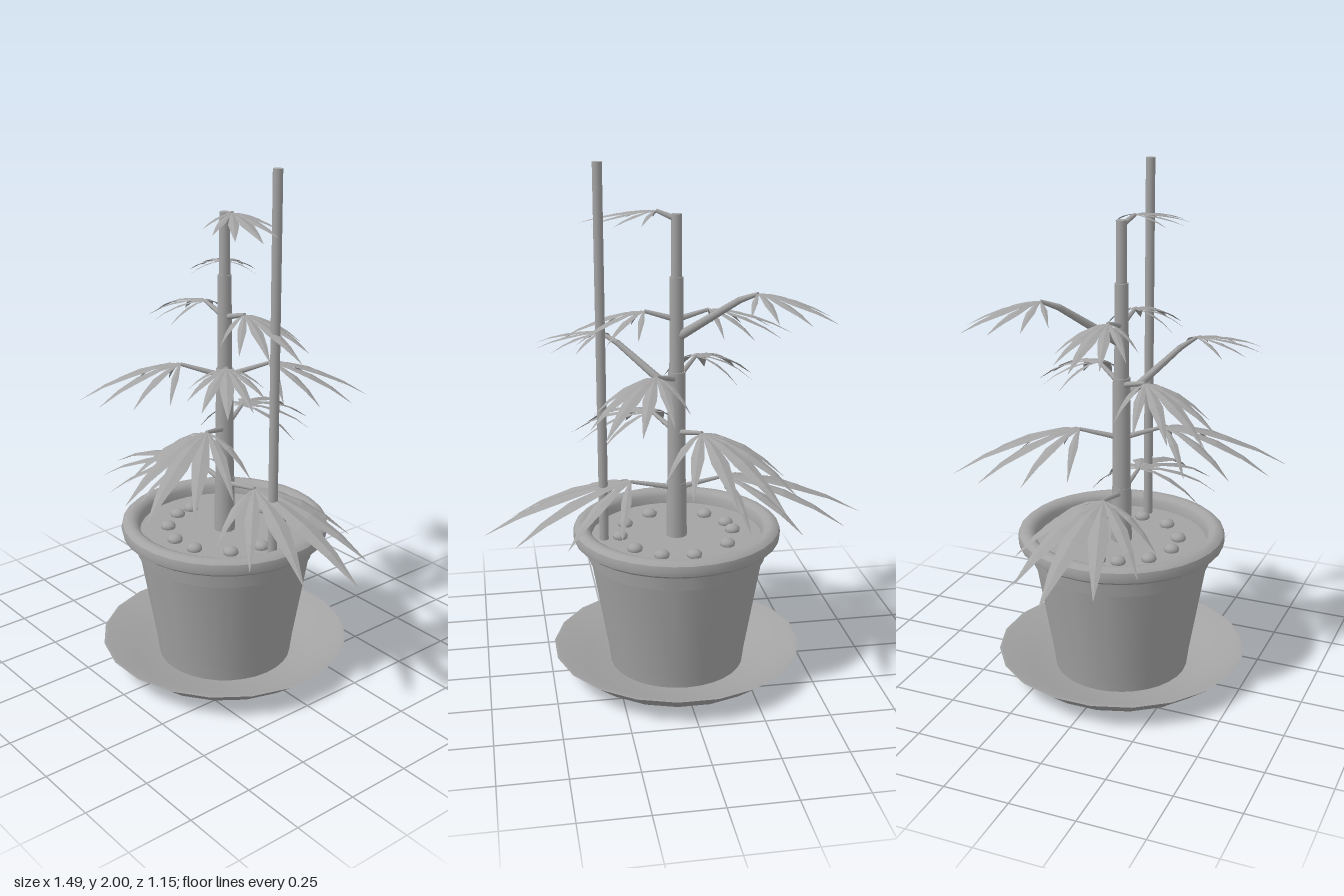
import * as THREE from 'three';
import { mergeGeometries, toCreasedNormals } from 'three/addons/utils/BufferGeometryUtils.js';

const grey = new THREE.MeshStandardMaterial({ color: 0xa3a3a3, side: THREE.DoubleSide });
grey.name = 'clayGrey';

const V = (x, y, z) => new THREE.Vector3(x, y, z);

function addMesh(parent, name, geometry) {
  const mesh = new THREE.Mesh(geometry, grey);
  mesh.name = name;
  parent.add(mesh);
  return mesh;
}

function lathe(points, sides) {
  const g = new THREE.LatheGeometry(points.map(([r, y]) => new THREE.Vector2(r, y)), sides);
  return toCreasedNormals(g, Math.PI / 5);
}

// Tapered round rod between two points
function rod(a, b, r0, r1, sides = 8) {
  const d = b.clone().sub(a);
  const g = new THREE.CylinderGeometry(r1, r0, d.length(), sides);
  g.applyQuaternion(new THREE.Quaternion().setFromUnitVectors(V(0, 1, 0), d.normalize()));
  return g.translate((a.x + b.x) / 2, (a.y + b.y) / 2, (a.z + b.z) / 2);
}

// One drooping pointed leaflet along +x, folded along its midrib
function leaflet(length, drop) {
  const rows = [[0, 0.015], [0.25, 0.05], [0.5, 0.08], [0.75, 0.048], [1, 0]];
  const pos = [];
  const section = ([t, w]) => {
    const x = t * length, y = -drop * t * t, h = w * length;
    return { l: [x, y - h * 0.25, -h], m: [x, y, 0], r: [x, y - h * 0.25, h] };
  };
  for (let i = 0; i < rows.length - 1; i++) {
    const a = section(rows[i]), b = section(rows[i + 1]);
    pos.push(...a.l, ...a.m, ...b.m, ...a.m, ...a.r, ...b.m);
    if (i < rows.length - 2) pos.push(...a.l, ...b.m, ...b.l, ...a.r, ...b.r, ...b.m);
  }
  const g = new THREE.BufferGeometry();
  g.setAttribute('position', new THREE.Float32BufferAttribute(pos, 3));
  g.computeVertexNormals();
  return g;
}

// Palmate fan of seven leaflets, the longest in the middle
function fan(length, droop) {
  const spread = [[0, 1], [19, 0.85], [43, 0.64], [75, 0.44]];
  const parts = [];
  for (const [deg, k] of spread) {
    for (const side of deg ? [-1, 1] : [1]) {
      parts.push(leaflet(length * k, length * droop * Math.pow(k, 0.25))
        .rotateY(side * THREE.MathUtils.degToRad(deg)));
    }
  }
  return mergeGeometries(parts);
}

export function createModel() {
  const model = new THREE.Group();
  model.name = 'pottedPlant';

  // Saucer
  addMesh(model, 'saucer', lathe([
    [0, 0], [0.2, 0.002], [0.36, 0.008], [0.395, 0.025], [0.49, 0.1],
    [0.478, 0.1], [0.36, 0.035], [0, 0.02],
  ], 20)).rotation.y = Math.PI / 20;

  // Pot body, raised band and rolled rim
  addMesh(model, 'potBody', lathe([
    [0, 0.015], [0.262, 0.015], [0.273, 0.1], [0.338, 0.48], [0.346, 0.48], [0.355, 0.56],
  ], 32));
  addMesh(model, 'potRim', lathe([
    [0.34, 0.55], [0.385, 0.548], [0.4, 0.56], [0.404, 0.58], [0.4, 0.6], [0.385, 0.613],
    [0.365, 0.615], [0.345, 0.606], [0.335, 0.59], [0.332, 0.55],
  ], 32));

  // Soil and pebbles
  const soil = new THREE.CircleGeometry(0.336, 32).rotateX(-Math.PI / 2).translate(0, 0.56, 0);
  addMesh(model, 'soil', soil);
  const pebbles = new THREE.Group();
  pebbles.name = 'pebbles';
  model.add(pebbles);
  for (const deg of [0, 33, 70, 98, 130, 161, 181, 218, 262, 294, 325]) {
    const a = THREE.MathUtils.degToRad(deg);
    const p = addMesh(pebbles, 'pebble', new THREE.SphereGeometry(0.03, 10, 8));
    p.scale.y = 0.7;
    p.position.set(0.222 * Math.cos(a), 0.567, 0.222 * Math.sin(a));
  }

  // Stem in tapering lengths
  const joints = [[0.55, 0.041], [0.78, 0.036], [1.22, 0.028], [1.58, 0.021], [1.81, 0.018]];
  for (let i = 0; i < joints.length - 1; i++) {
    const [y0, r0] = joints[i], [y1, r1] = joints[i + 1];
    addMesh(model, 'stem', rod(V(0, y0, 0), V(0, y1, 0), r0, Math.max(r1, r0 * 0.92), 12));
  }

  // Support stake
  addMesh(model, 'stake', rod(V(0.285, 0.55, 0), V(0.285, 2, 0), 0.018, 0.018, 12));

  // Leaves: heading from +x towards +z, stalk start and end height, stalk reach, length, droop
  const leaves = [
    [0, 0.755, 0.79, 0.18, 0.565, 0.33], [180, 0.755, 0.79, 0.18, 0.565, 0.33],
    [63.4, 0.98, 1.02, 0.16, 0.485, 0.35], [243.4, 0.98, 1.02, 0.16, 0.485, 0.35],
    [126, 1.19, 1.24, 0.165, 0.38, 0.36], [306, 1.19, 1.24, 0.165, 0.38, 0.36],
    [2, 1.42, 1.455, 0.12, 0.325, 0.32], [182, 1.42, 1.455, 0.12, 0.325, 0.32],
    [38, 1.13, 1.33, 0.33, 0.31, 0.25], [218, 1.35, 1.55, 0.33, 0.31, 0.25],
    [18, 1.79, 1.82, 0.075, 0.29, 0.18],
  ];
  for (const [deg, y0, y1, reach, length, droop] of leaves) {
    const leaf = new THREE.Group();
    leaf.name = 'leaf';
    leaf.rotation.y = -THREE.MathUtils.degToRad(deg);
    const thick = reach > 0.3 ? 0.018 : 0.012;
    if (reach > 0.3) {
      const bend = V(reach * 0.78, y1 - 0.03, 0);
      addMesh(leaf, 'leafStalk', rod(V(0, y0, 0), bend, thick, 0.012));
      addMesh(leaf, 'leafStalkTip', rod(bend, V(reach, y1, 0), 0.012, 0.007));
    } else {
      addMesh(leaf, 'leafStalk', rod(V(0, y0, 0), V(reach, y1, 0), thick, 0.007));
    }
    addMesh(leaf, 'leafFan', fan(length, droop)).position.set(reach, y1, 0);
    model.add(leaf);
  }
  return model;
}
